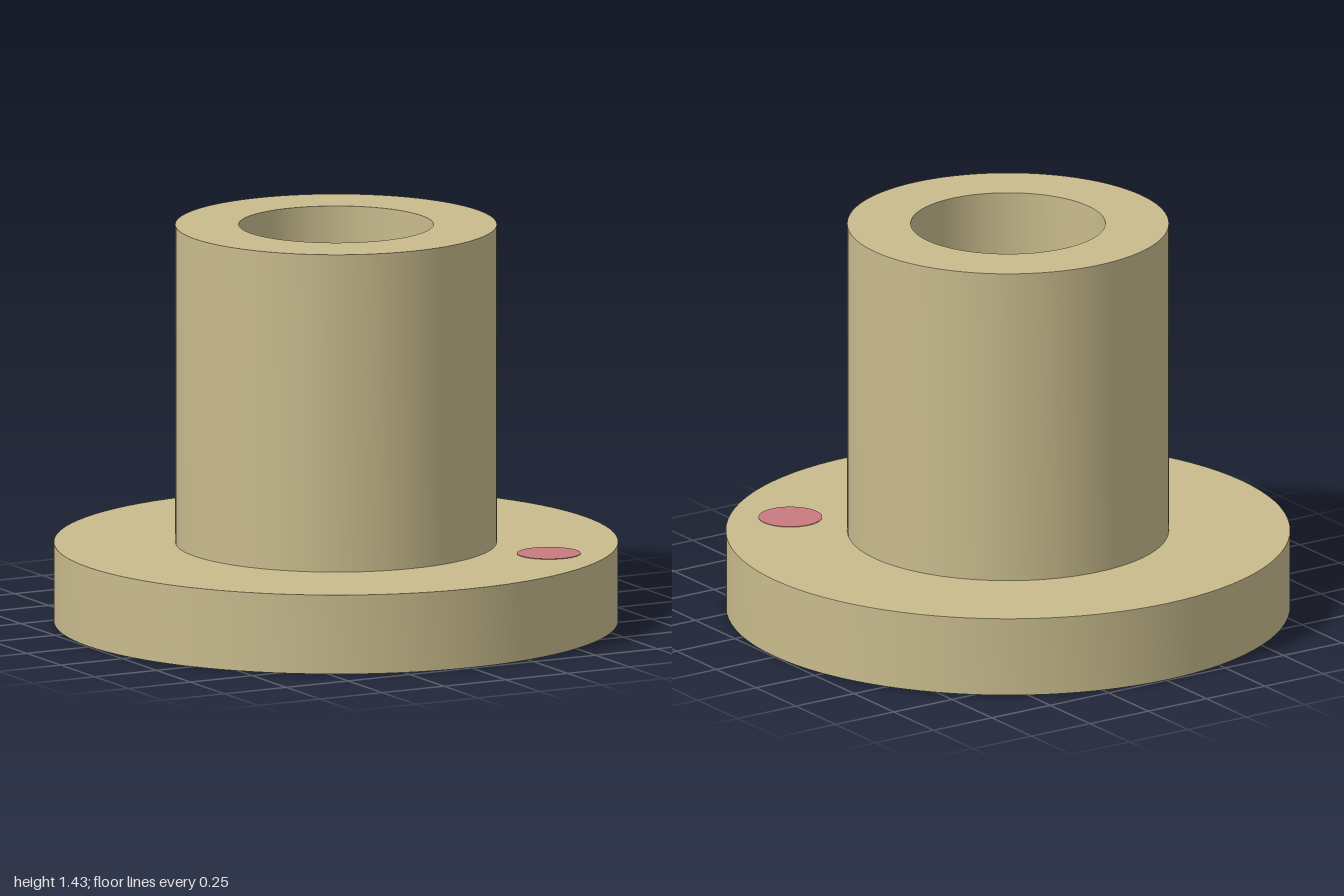
import * as THREE from 'three';
import { toCreasedNormals } from 'three/addons/utils/BufferGeometryUtils.js';

const BORE = 0.345, SLEEVE = 0.57, FLANGE = 1;
const FLANGE_TOP = 0.285, HEIGHT = 1.43;
const SEGMENTS = 96;

export function createModel() {
  const tan = new THREE.MeshStandardMaterial({ color: 0xc8bb8c });
  tan.name = 'tan';
  const rose = new THREE.MeshStandardMaterial({ color: 0xc87b80 });
  rose.name = 'rose';

  const model = new THREE.Group();
  model.name = 'flangedBushing';

  // Flange, sleeve and through bore as one closed turned profile
  const profile = [
    [BORE, 0], [FLANGE, 0], [FLANGE, FLANGE_TOP], [SLEEVE, FLANGE_TOP],
    [SLEEVE, HEIGHT], [BORE, HEIGHT], [BORE, 0],
  ].map(([r, y]) => new THREE.Vector2(r, y));
  const body = new THREE.Mesh(
    toCreasedNormals(new THREE.LatheGeometry(profile, SEGMENTS), 0.6), tan);
  body.name = 'bushingBody';
  model.add(body);

  // Round marker spots on the upper and lower flange faces
  for (const [name, y] of [['upperMarker', FLANGE_TOP], ['lowerMarker', 0]]) {
    const marker = new THREE.Mesh(
      new THREE.CylinderGeometry(0.113, 0.113, 0.004, 48), rose);
    marker.name = name;
    marker.position.set(0.555, y, 0.555);
    model.add(marker);
  }

  return model;
}
